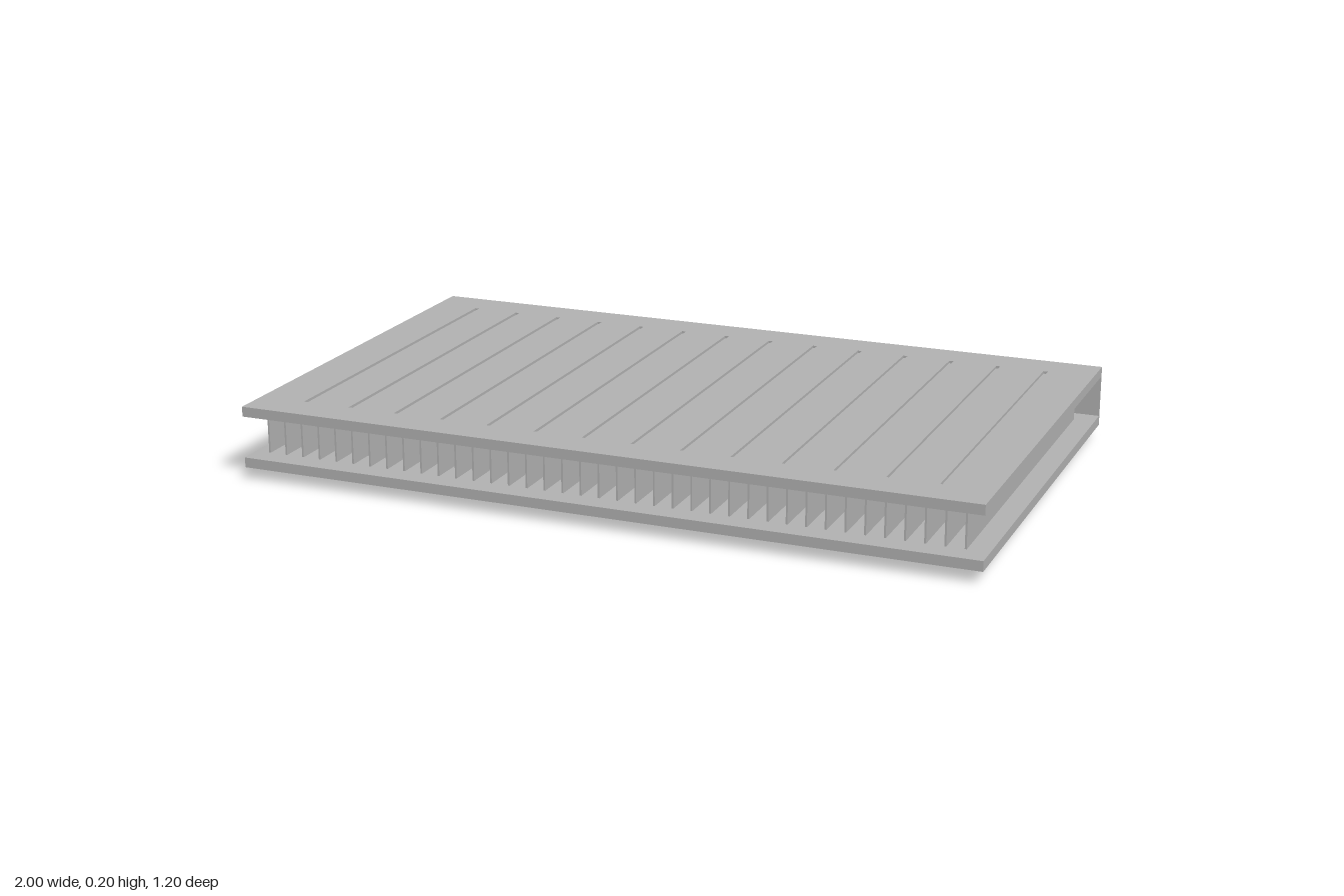
import * as THREE from 'three';

export function createModel() {
  const model = new THREE.Group();
  const metal = new THREE.MeshStandardMaterial({ color: 0xb2b2b2 });
  metal.name = 'grey metal';

  // Box given by its lower and upper limits on each axis
  function addBox(name, [x0, x1], [y0, y1], [z0, z1], parent = model) {
    const mesh = new THREE.Mesh(new THREE.BoxGeometry(x1 - x0, y1 - y0, z1 - z0), metal);
    mesh.position.set((x0 + x1) / 2, (y0 + y1) / 2, (z0 + z1) / 2);
    mesh.name = name;
    parent.add(mesh);
  }

  // Rectangle traced as a shape or a hole
  function trace(path, x0, x1, y0, y1) {
    path.moveTo(x0, y0);
    path.lineTo(x1, y0);
    path.lineTo(x1, y1);
    path.lineTo(x0, y1);
    path.closePath();
    return path;
  }

  const plateZ = [-0.595, 0.6];
  const grooveFloor = 0.193;

  // Plates and the thin wall closing the back
  addBox('bottomPlate', [-1, 1], [0.033, 0.06], plateZ);
  addBox('topPlate', [-1, 1], [0.173, grooveFloor], plateZ);
  addBox('backWall', [-1, 1], [0.033, 0.2], [-0.6, -0.595]);

  // Grooved upper face: a thin layer cut by long narrow slots
  const face = trace(new THREE.Shape(), -1, 1, -plateZ[1], -plateZ[0]);
  const grooves = 14;
  for (let i = 0; i < grooves; i++) {
    const x = (i - (grooves - 1) / 2) * (2 / 15);
    face.holes.push(trace(new THREE.Path(), x - 0.006, x + 0.006, -0.5, 0.5));
  }
  const layer = new THREE.ExtrudeGeometry(face, { depth: 0.2 - grooveFloor, bevelEnabled: false });
  layer.rotateX(-Math.PI / 2);
  layer.translate(0, grooveFloor, 0);
  const groovedFace = new THREE.Mesh(layer, metal);
  groovedFace.name = 'groovedFace';
  model.add(groovedFace);

  // Row of thin upright fins between the plates
  const fins = new THREE.Group();
  fins.name = 'fins';
  for (let i = 0; i < 39; i++) {
    const x = -0.96 + i * 0.05;
    addBox('fin', [x - 0.0025, x + 0.0025], [0.06, 0.173], [-0.54, 0.54], fins);
  }
  model.add(fins);

  // Pair of feet near the back
  for (const side of [-1, 1]) {
    const x = side * 0.76;
    addBox(side > 0 ? 'leftFoot' : 'rightFoot', [x - 0.04, x + 0.04], [0, 0.033], [-0.5, -0.44]);
  }

  return model;
}
